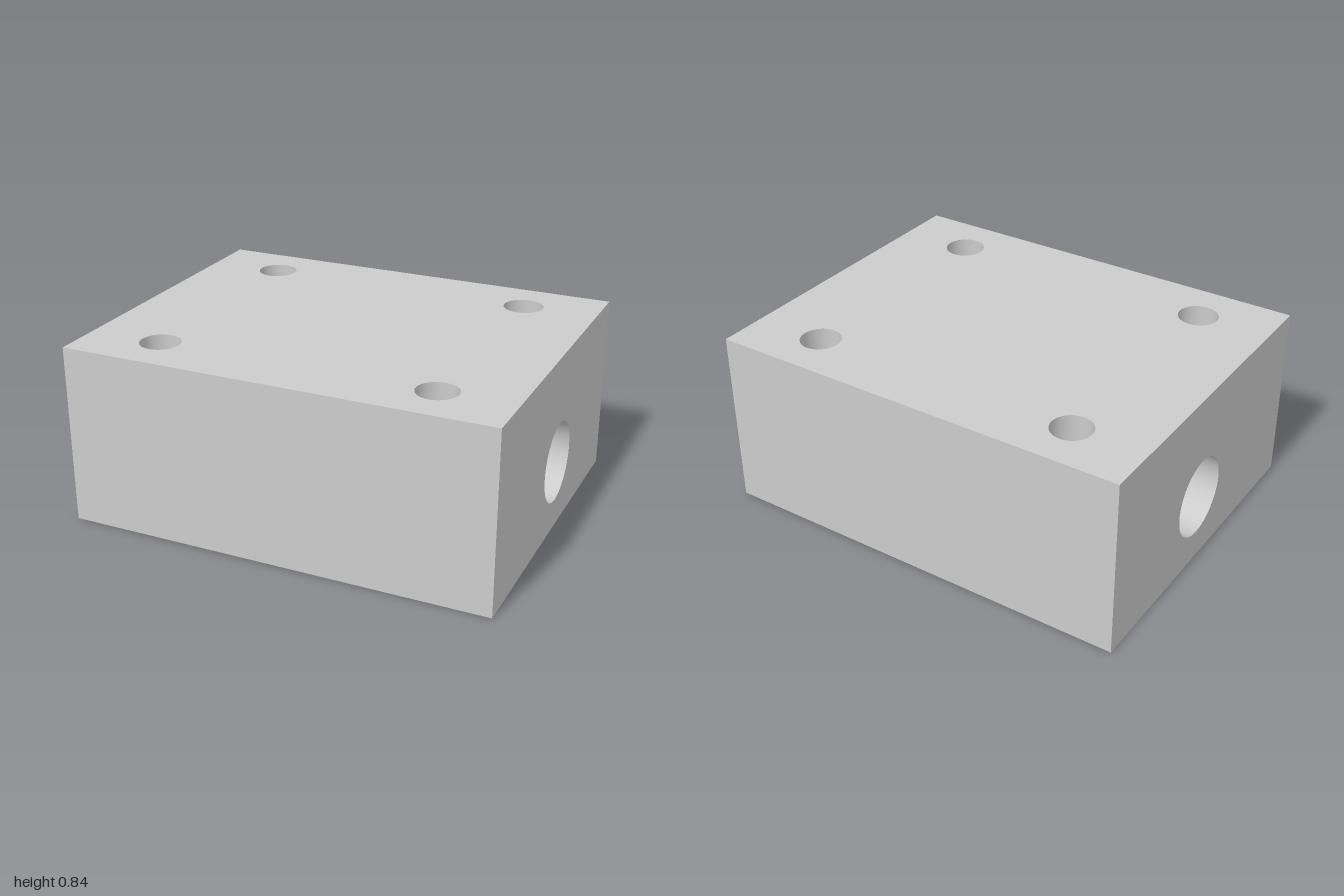
import * as THREE from 'three';

const W = 2, H = 0.84, D = 1.58;
const SEG = 48;
const BOLT = { x: 0.65, z: 0.557, r: 0.093 };
const BORE = { y: 0.326, z: -0.045, r: 0.187 };

// Flat rectangular face centred on its origin, with round holes [u, v, r]
function face(w, h, holes = []) {
  const s = new THREE.Shape();
  s.moveTo(-w / 2, -h / 2).lineTo(w / 2, -h / 2).lineTo(w / 2, h / 2).lineTo(-w / 2, h / 2).closePath();
  for (const [u, v, r] of holes) {
    const p = new THREE.Path();
    p.absarc(u, v, r, 0, Math.PI * 2, true);
    s.holes.push(p);
  }
  return new THREE.ShapeGeometry(s, SEG);
}

// Inward-facing hole wall along y, made by a profile running downward
function holeWall(r, len) {
  return new THREE.LatheGeometry(
    [new THREE.Vector2(r, len / 2), new THREE.Vector2(r, -len / 2)], SEG);
}

export function createModel() {
  const model = new THREE.Group();
  model.name = 'drilledBlock';
  const mat = new THREE.MeshStandardMaterial({ color: 0xcccccc });
  const add = (name, geo, x, y, z) => {
    const m = new THREE.Mesh(geo, mat);
    m.name = name;
    m.position.set(x, y, z);
    model.add(m);
  };

  const corners = [[1, 1], [-1, 1], [-1, -1], [1, -1]].map(([a, b]) => [a * BOLT.x, b * BOLT.z]);
  const boltHoles = corners.map(([x, z]) => [x, z, BOLT.r]);
  const q = Math.PI / 2;

  // Top and bottom faces with the four bolt holes
  add('topFace', face(W, D, boltHoles).rotateX(-q), 0, H, 0);
  add('bottomFace', face(W, D, boltHoles).rotateX(q), 0, 0, 0);

  // Plain front and back faces
  add('frontFace', face(W, H), 0, H / 2, D / 2);
  add('backFace', face(W, H).rotateY(Math.PI), 0, H / 2, -D / 2);

  // Side faces pierced by the cross bore
  for (const s of [1, -1]) {
    const geo = face(D, H, [[-s * BORE.z, BORE.y - H / 2, BORE.r]]).rotateY(s * q);
    add(s > 0 ? 'leftFace' : 'rightFace', geo, s * W / 2, H / 2, 0);
  }

  // Hole walls
  for (const [x, z] of corners) add('boltHole', holeWall(BOLT.r, H), x, H / 2, z);
  add('crossBore', holeWall(BORE.r, W).rotateZ(q), 0, BORE.y, BORE.z);

  return model;
}
